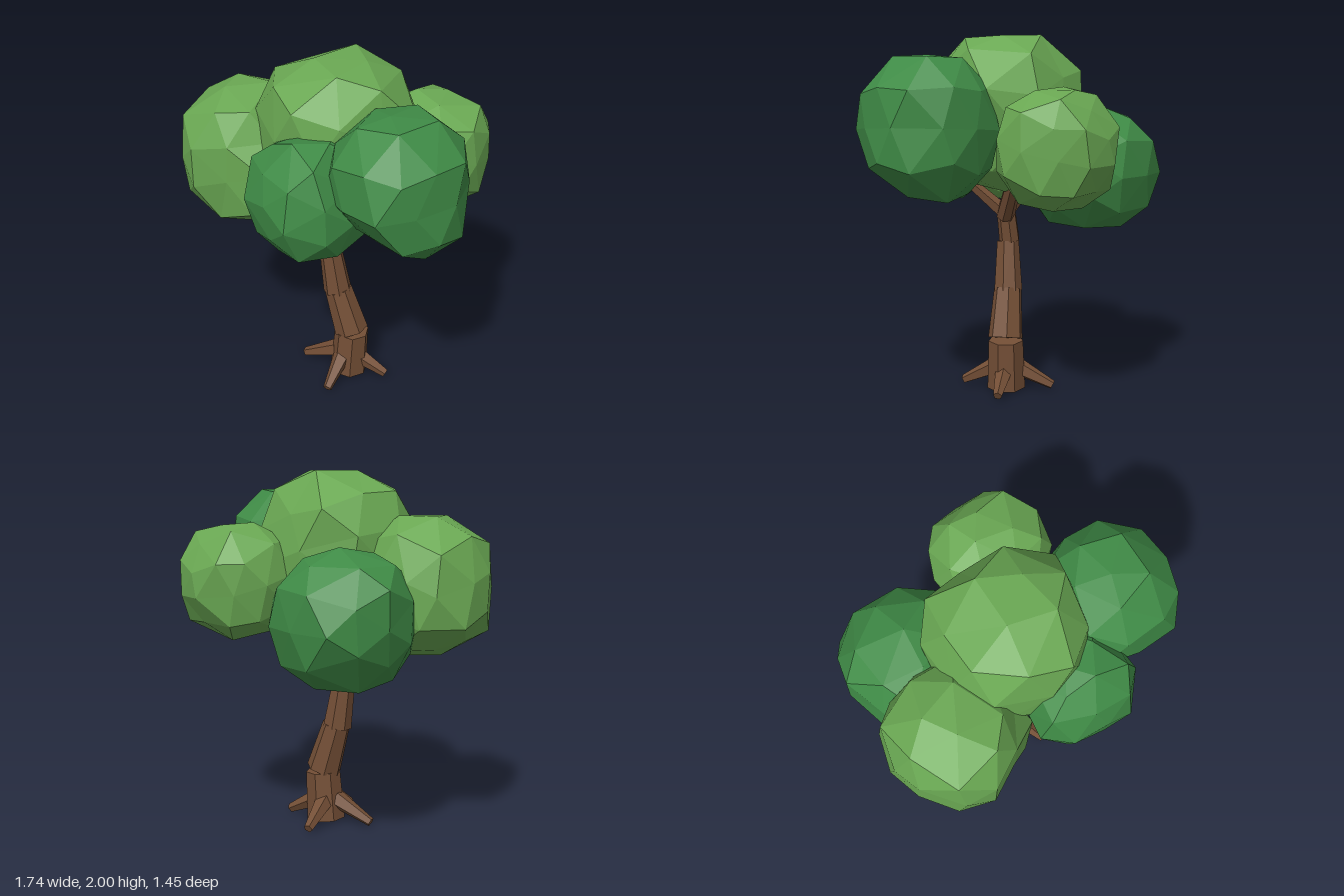
import * as THREE from 'three';

const V = (a) => new THREE.Vector3(...a);

// Tapered, faceted limb between two points
function limb(name, from, to, r0, r1, sides, material, twist = 0) {
  const a = V(from), b = V(to);
  const dir = b.clone().sub(a);
  const geo = new THREE.CylinderGeometry(r1, r0, dir.length(), sides);
  geo.rotateY(twist);
  const mesh = new THREE.Mesh(geo, material);
  mesh.name = name;
  mesh.position.copy(a).add(b).multiplyScalar(0.5);
  mesh.quaternion.setFromUnitVectors(new THREE.Vector3(0, 1, 0), dir.normalize());
  return mesh;
}

// Planes through the edges of an outline drawn in two axes, facing away from the centre
function outlinePlanes(outline, u, v, centre) {
  return outline.slice(1).map((q, i) => {
    const p = outline[i];
    const n = new THREE.Vector3();
    n[u] = q[1] - p[1];
    n[v] = p[0] - q[0];
    n.normalize();
    const d = n[u] * (p[0] - centre[u]) + n[v] * (p[1] - centre[v]);
    return d < 0 ? { n: n.negate(), d: -d } : { n, d };
  });
}

// Faceted clump of leaves filling the box min..max, cut flat along its front, side and top outlines
function clump(name, material, seed, min, max, { front = [], side = [], top = [] }) {
  const lo = V(min), hi = V(max);
  const mid = lo.clone().add(hi).multiplyScalar(0.5);
  const half = hi.clone().sub(lo).multiplyScalar(0.5);
  const planes = [
    ...outlinePlanes(front, 'x', 'y', mid),
    ...outlinePlanes(side, 'z', 'y', mid),
    ...outlinePlanes(top, 'x', 'z', mid),
  ];
  const geo = new THREE.IcosahedronGeometry(1, 1);
  geo.rotateX(seed * 1.3);
  geo.rotateY(seed * 2.1);
  const pos = geo.attributes.position;
  const p = new THREE.Vector3();
  for (let i = 0; i < pos.count; i++) {
    p.fromBufferAttribute(pos, i);
    p.x += 0.08 * Math.sin(p.y * 7 + seed);
    p.z += 0.08 * Math.sin(p.x * 7 + seed * 2);
    p.normalize().multiply(half).multiplyScalar(1.09);
    const reach = planes.reduce((t, { n, d }) => Math.min(t, n.dot(p) > 0 ? d / n.dot(p) : 1), 1);
    p.multiplyScalar(reach);
    pos.setXYZ(i, p.x, p.y, p.z);
  }
  // Fit the cut shape to its box
  geo.computeBoundingBox();
  const centre = geo.boundingBox.getCenter(new THREE.Vector3());
  const scale = half.clone().multiplyScalar(2).divide(geo.boundingBox.getSize(new THREE.Vector3()));
  geo.translate(-centre.x, -centre.y, -centre.z);
  geo.scale(scale.x, scale.y, scale.z);
  geo.computeVertexNormals();
  const mesh = new THREE.Mesh(geo, material);
  mesh.name = name;
  mesh.position.copy(mid);
  return mesh;
}

export function createModel() {
  const make = (name, color) => {
    const m = new THREE.MeshStandardMaterial({ color, flatShading: true });
    m.name = name;
    return m;
  };
  const bark = make('bark brown', 0x744f36);
  const light = make('light leaf green', 0x6aa853);
  const dark = make('dark leaf green', 0x3f8b46);

  const tree = new THREE.Group();
  tree.name = 'tree';

  // Trunk: stacked, slightly offset segments [from, to, bottom radius, top radius]
  const trunk = new THREE.Group();
  trunk.name = 'trunk';
  [
    [[0.025, 0.01, 0.052], [0.042, 0.29, 0.042], 0.11, 0.1],
    [[0.04, 0.3, 0.045], [-0.03, 0.57, 0.083], 0.1, 0.08],
    [[-0.033, 0.56, 0.085], [-0.063, 0.84, 0.11], 0.082, 0.064],
    [[-0.068, 0.845, 0.1], [-0.033, 1.03, 0.098], 0.06, 0.054],
    [[-0.025, 0.99, 0.098], [0.12, 1.34, -0.12], 0.053, 0.04],
  ].forEach(([a, b, r0, r1], i) => trunk.add(limb('trunkSegment' + (i + 1), a, b, r0, r1, 7, bark, i * 0.5)));
  tree.add(trunk);

  // Branches forking under the crown
  tree.add(limb('branchRight', [-0.03, 1.01, 0.095], [-0.22, 1.21, 0.03], 0.042, 0.028, 5, bark));
  tree.add(limb('branchFrontLeft', [-0.02, 1.01, 0.1], [0.13, 1.23, 0.3], 0.042, 0.028, 5, bark));

  // Four roots, a quarter turn apart
  const roots = new THREE.Group();
  roots.name = 'roots';
  for (let i = 0; i < 4; i++) {
    const a = -0.45 + i * Math.PI / 2;
    const c = Math.cos(a), s = Math.sin(a);
    roots.add(limb('root', [0.01 + c * 0.05, 0.13, 0.06 + s * 0.05],
      [c * 0.262, 0.026, 0.06 + s * 0.262], 0.055, 0.026, 5, bark));
  }
  tree.add(roots);

  // Crown: overlapping clumps of leaves
  const crown = new THREE.Group();
  crown.name = 'crown';
  crown.add(
    clump('topClump', light, 1, [-0.44, 1.14, -0.33], [0.39, 2.0, 0.495], {
      front: [[-0.38, 1.77], [-0.24, 2.0], [0, 2.0], [0.25, 1.955], [0.36, 1.85]],
      side: [[0.42, 1.85], [0.31, 1.95], [0.08, 2.0], [-0.17, 1.98], [-0.28, 1.68]],
      top: [[-0.37, 0.34], [-0.44, -0.04], [-0.3, -0.23], [-0.11, -0.33], [0.1, -0.31], [0.34, -0.19],
        [0.39, -0.04], [0.29, 0.28], [0.12, 0.49], [-0.13, 0.45], [-0.37, 0.34]],
    }),
    clump('frontRightClump', light, 2, [-0.87, 1.01, -0.03], [-0.13, 1.765, 0.7], {
      front: [[-0.87, 1.21], [-0.83, 1.6], [-0.68, 1.76], [-0.35, 1.76], [-0.17, 1.5], [-0.14, 1.23],
        [-0.25, 1.08], [-0.49, 1.01], [-0.87, 1.21]],
      side: [[0.6, 1.69], [0.5, 1.765], [0.2, 1.765]],
      top: [[-0.44, -0.02], [-0.6, -0.02], [-0.8, 0.08], [-0.87, 0.31], [-0.74, 0.64], [-0.49, 0.7], [-0.15, 0.49]],
    }),
    clump('backClump', light, 3, [-0.14, 1.1, -0.725], [0.51, 1.725, -0.09], {
      side: [[-0.26, 1.67], [-0.375, 1.725], [-0.49, 1.71], [-0.635, 1.59], [-0.72, 1.4], [-0.67, 1.26],
        [-0.52, 1.11], [-0.26, 1.12], [-0.1, 1.23]],
      top: [[-0.15, -0.4], [-0.15, -0.48], [-0.02, -0.64], [0.18, -0.725], [0.39, -0.64], [0.495, -0.465],
        [0.51, -0.26], [0.365, -0.14]],
    }),
    clump('leftClump', dark, 4, [0.19, 1.14, -0.18], [0.87, 1.89, 0.505], {
      front: [[0.34, 1.89], [0.73, 1.87], [0.85, 1.7], [0.87, 1.33], [0.71, 1.2], [0.52, 1.14], [0.38, 1.2]],
      side: [[0.5, 1.68], [0.34, 1.89], [-0.05, 1.87], [-0.16, 1.68], [-0.18, 1.36], [0, 1.14],
        [0.25, 1.23], [0.485, 1.46], [0.5, 1.68]],
      top: [[0.36, -0.18], [0.63, -0.16], [0.73, -0.11], [0.85, 0.05], [0.87, 0.17], [0.76, 0.48],
        [0.52, 0.5], [0.29, 0.46]],
    }),
    clump('frontClump', dark, 5, [-0.15, 1.08, 0.1], [0.47, 1.735, 0.72], {
      front: [[-0.15, 1.39], [-0.08, 1.61], [0.16, 1.73], [0.35, 1.69], [0.47, 1.39], [0.4, 1.18],
        [0.16, 1.08], [-0.05, 1.17], [-0.15, 1.39]],
      side: [[0.5, 1.73], [0.62, 1.69], [0.72, 1.42], [0.7, 1.28], [0.59, 1.14], [0.32, 1.08]],
      top: [[-0.15, 0.56], [-0.01, 0.7], [0.14, 0.72], [0.35, 0.72], [0.47, 0.56]],
    }),
    clump('backRightClump', dark, 6, [-0.83, 0.9, -0.55], [-0.04, 1.62, 0.22], {
      front: [[-0.79, 1.15], [-0.68, 0.9], [-0.275, 0.9], [-0.04, 1.07]],
      side: [[0, 0.96], [-0.21, 0.9], [-0.34, 0.9], [-0.525, 1.05], [-0.54, 1.2]],
      top: [[-0.72, 0.05], [-0.83, -0.09], [-0.755, -0.41], [-0.685, -0.515], [-0.455, -0.545], [-0.2, -0.515], [-0.1, -0.4]],
    }),
  );
  tree.add(crown);
  return tree;
}
